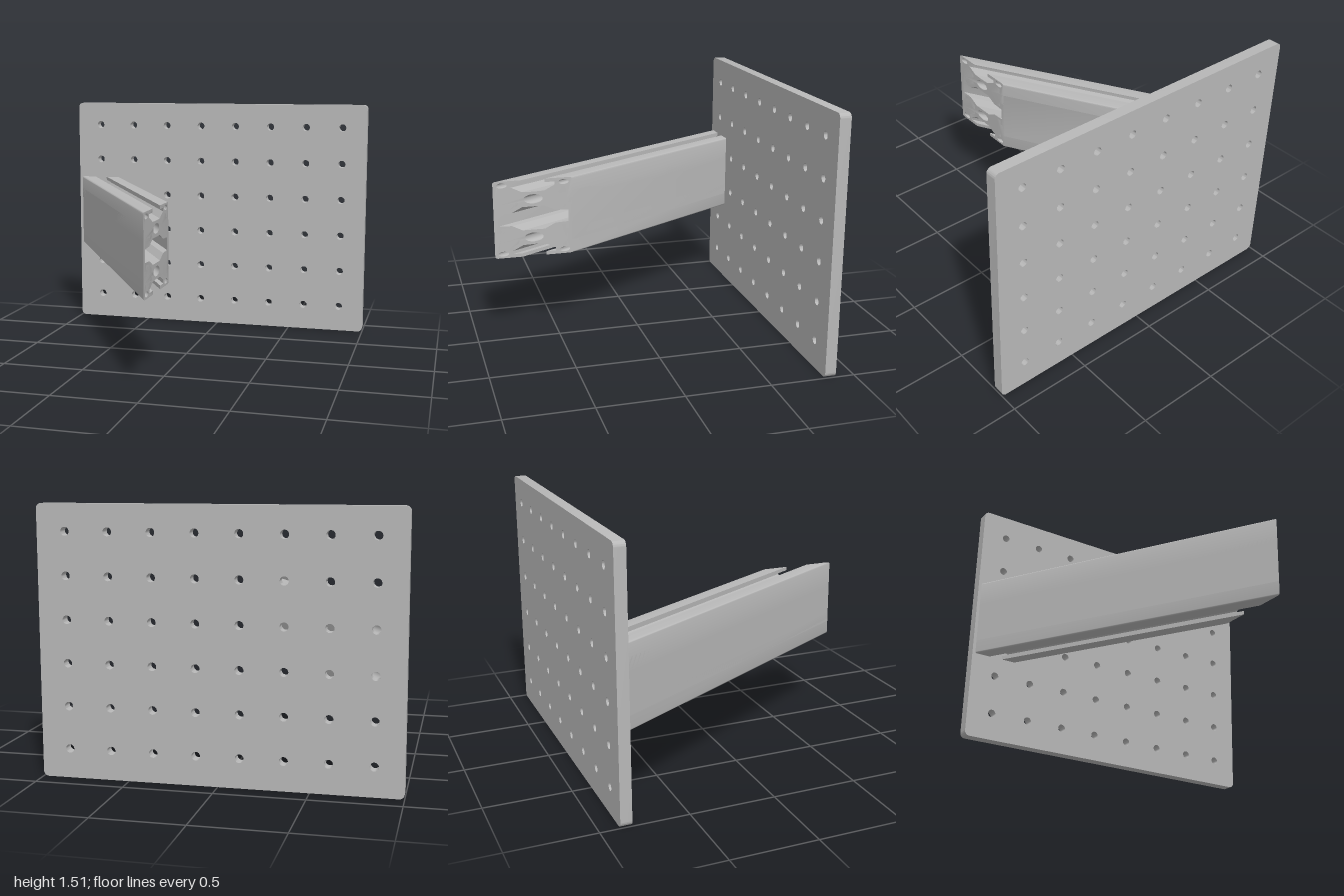
import * as THREE from 'three';
import { toCreasedNormals } from 'three/addons/utils/BufferGeometryUtils.js';

const MM = 0.011875; // one profile millimetre in model units

function circlePath(x, y, r) {
  const p = new THREE.Path();
  p.absarc(x, y, r, 0, Math.PI * 2, true);
  return p;
}

function roundedRect(x0, y0, x1, y1, r) {
  const s = new THREE.Shape();
  s.absarc(x1 - r, y1 - r, r, 0, Math.PI / 2);
  s.absarc(x0 + r, y1 - r, r, Math.PI / 2, Math.PI);
  s.absarc(x0 + r, y0 + r, r, Math.PI, Math.PI * 1.5);
  s.absarc(x1 - r, y0 + r, r, Math.PI * 1.5, Math.PI * 2);
  s.closePath();
  return s;
}

// Upright plate with a regular grid of holes
function makePlate(material) {
  const shape = roundedRect(-1, 0, 1, 1.515, 0.03);
  for (let i = 0; i < 8; i++)
    for (let j = 0; j < 6; j++)
      shape.holes.push(circlePath(-0.84 + 0.24 * i, 0.165 + 0.24 * j, 0.024));
  const geo = new THREE.ExtrudeGeometry(shape, { depth: 0.066, bevelEnabled: false, curveSegments: 12 });
  geo.translate(0, 0, -0.888);
  const mesh = new THREE.Mesh(toCreasedNormals(geo, 0.7), material);
  mesh.name = 'perforatedPlate';
  return mesh;
}

// Double T-slot cross-section, 20 x 40 mm, centred on the origin
function makeProfile() {
  // One slot as [offset along the face, distance from the cell centre]
  const slot = [[3, 10], [3, 8.2], [5.5, 8.2], [5.5, 6.56], [2.84, 3.9], [0, 3.7],
    [-2.84, 3.9], [-5.5, 6.56], [-5.5, 8.2], [-3, 8.2], [-3, 10]];
  const r = 0.8;
  const corner = (cx, cy, start) => [0, 1, 2, 3].map(k => {
    const a = start + (k / 3) * Math.PI / 2;
    return [cx + r * Math.cos(a), cy + r * Math.sin(a)];
  });
  const rightSlot = cy => slot.map(([a, d]) => [d, cy - a]).reverse();

  // Right half of the outline is turned by 180 degrees to give the left half
  const half = [
    ...rightSlot(-10), ...rightSlot(10),
    ...corner(10 - r, 20 - r, 0),
    ...slot.map(([a, d]) => [a, d + 10]),
    ...corner(-10 + r, 20 - r, Math.PI / 2),
  ];
  const outline = [...half, ...half.map(([x, y]) => [-x, -y])];
  const toPoints = list => list.map(([x, y]) => new THREE.Vector2(x * MM, y * MM));
  const shape = new THREE.Shape(toPoints(outline));

  // Core bores, corner bores and the hollow between the cells
  for (const s of [1, -1]) {
    shape.holes.push(circlePath(0, s * 10 * MM, 2.4 * MM));
    for (const t of [1, -1])
      shape.holes.push(circlePath(t * 7.8 * MM, s * 17.8 * MM, 1.3 * MM));
  }
  const cavity = [[8.85, 3.1], [5.5, 3.4], [2.84, 6.1], [-2.84, 6.1], [-5.5, 3.4], [-8.85, 3.1]];
  shape.holes.push(new THREE.Path(toPoints([...cavity, ...cavity.map(([x, y]) => [-x, -y])])));
  return shape;
}

// Slanted rail: mitred against the plate at one end and the plane x = 0 at the other
function makeRail(material) {
  const geo = new THREE.ExtrudeGeometry(makeProfile(), { depth: 1, bevelEnabled: false, curveSegments: 10 });
  const sin = 0.5, cos = Math.sqrt(3) / 2;
  const endZ = 0.64, plateZ = -0.822, midY = 0.7625;
  const pos = geo.attributes.position;
  for (let i = 0; i < pos.count; i++) {
    const u = pos.getX(i), v = pos.getY(i), t = pos.getZ(i);
    const s0 = (plateZ - endZ + sin * u) / cos;
    const s1 = -u * cos / sin;
    const s = s0 + (s1 - s0) * t;
    pos.setXYZ(i, cos * u + sin * s, midY + v, endZ - sin * u + cos * s);
  }
  const mesh = new THREE.Mesh(toCreasedNormals(geo, 0.65), material);
  mesh.name = 'slottedRail';
  return mesh;
}

export function createModel() {
  const metal = new THREE.MeshStandardMaterial({ color: 0xb8b8b8 });
  metal.name = 'grey metal';
  const group = new THREE.Group();
  group.name = 'plateWithAngledRail';
  group.add(makePlate(metal), makeRail(metal));
  return group;
}
